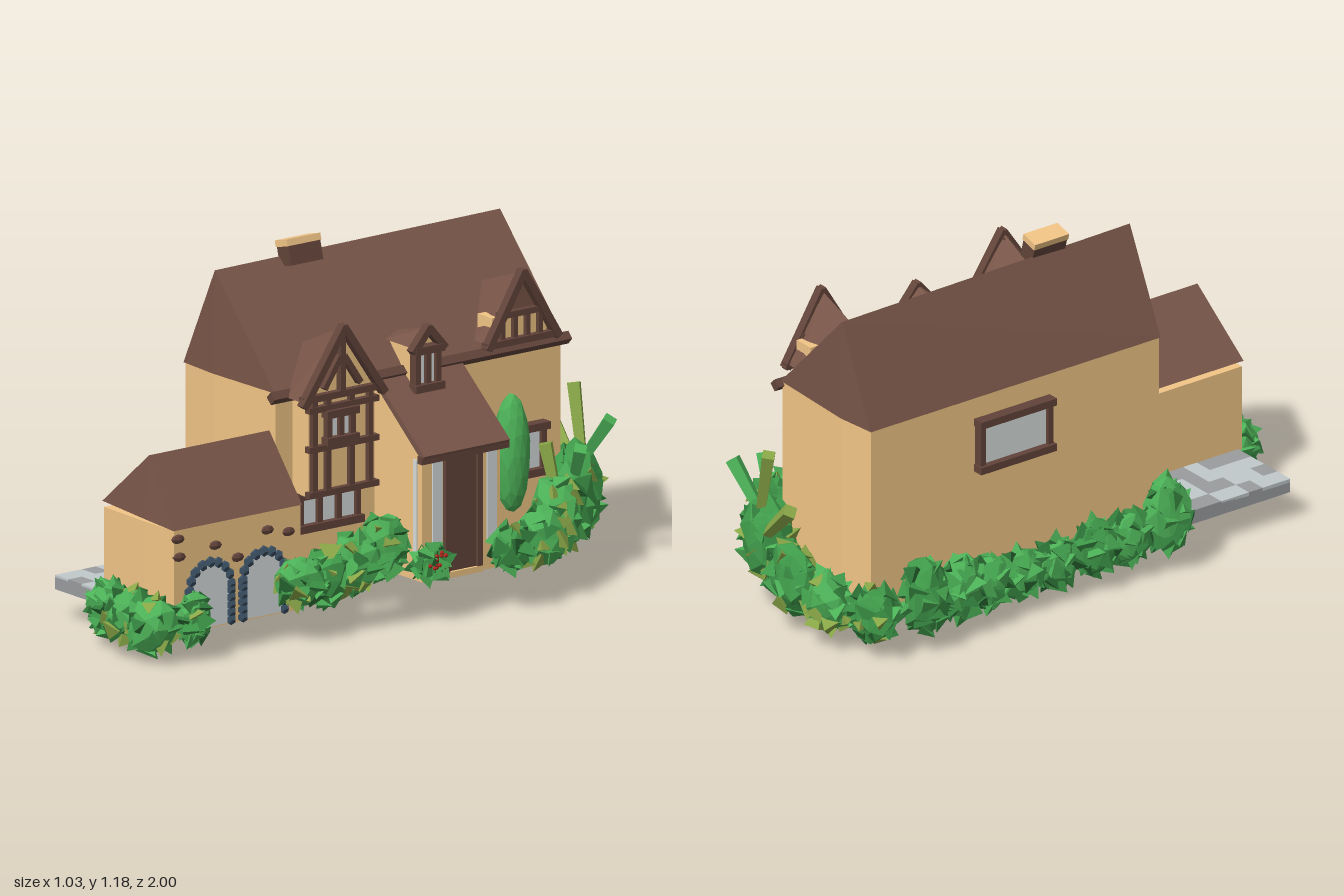
import * as THREE from 'three';
import { mergeVertices } from 'three/addons/utils/BufferGeometryUtils.js';

const mat = (color, side = THREE.FrontSide) => new THREE.MeshStandardMaterial({ color, flatShading: true, side });
const PLASTER = mat(0xf2c586, THREE.DoubleSide), ROOF = mat(0x785548, THREE.DoubleSide), TIMBER = mat(0x62443a);
const GLASS = mat(0xd6dcdb), SLATE = mat(0x3a4f62), STONE = mat(0x9a9c9e), PALE = mat(0xc0c9cb), BERRY = mat(0xb02a20);
const GREENS = [mat(0x4cb157), mat(0x3f9b4a), mat(0x2f7a3a)], OLIVE = mat(0x8aa848);

let seed = 7;
const rand = () => (seed = (seed * 16807) % 2147483647) / 2147483647;

function add(parent, name, geo, material) {
  const m = new THREE.Mesh(geo, material);
  m.name = name;
  parent.add(m);
  return m;
}

function group(parent, name) {
  const g = new THREE.Group();
  g.name = name;
  parent.add(g);
  return g;
}

// Box given by its limits
function box(p, name, material, x0, x1, y0, y1, z0, z1) {
  const m = add(p, name, new THREE.BoxGeometry(x1 - x0, y1 - y0, z1 - z0), material);
  m.position.set((x0 + x1) / 2, (y0 + y1) / 2, (z0 + z1) / 2);
  return m;
}

// Timber between two (y, z) points on a side wall
function bar(p, x, y0, z0, y1, z1, w = 0.02, d = 0.025) {
  const m = add(p, 'timber', new THREE.BoxGeometry(d, w, Math.hypot(y1 - y0, z1 - z0) + w * 0.5), TIMBER);
  m.position.set(x, (y0 + y1) / 2, (z0 + z1) / 2);
  m.rotation.x = -Math.atan2(y1 - y0, z1 - z0);
}

// Flat polygons fanned into triangles
function faces(p, name, material, polys) {
  const v = [];
  for (const q of polys)
    for (let i = 1; i < q.length - 1; i++) v.push(...q[0], ...q[i], ...q[i + 1]);
  const g = new THREE.BufferGeometry();
  g.setAttribute('position', new THREE.Float32BufferAttribute(v, 3));
  g.computeVertexNormals();
  return add(p, name, g, material);
}

// Walls on a slightly bent footprint, with a gabled roof
function block(root, name, { l, r, rxf, rxb, zf, zb, mf, mb, rf, rb, y0, eave, drop, top }) {
  const g = group(root, name);
  const s = new THREE.Shape([[l, zf], [rxf, mf], [r, zf], [r, zb], [rxb, mb], [l, zb]]
    .map(([x, z]) => new THREE.Vector2(x, -z)));
  const walls = new THREE.ExtrudeGeometry(s, { depth: eave - drop - y0, bevelEnabled: false });
  walls.rotateX(-Math.PI / 2).translate(0, y0, 0);
  add(g, 'walls', walls, PLASTER);
  const e = 0.004, F = [rxf, top, rf], B = [rxb, top, rb];
  const LF = [l - e, eave, zf + e], RF = [r + e, eave - drop, zf + e], LB = [l - e, eave, zb - e], RB = [r + e, eave - drop, zb - e];
  const MF = [rxf, eave - drop / 2, mf + e], MB = [rxb, eave - drop / 2, mb - e];
  faces(g, 'roof', ROOF, [[LF, F, B, LB], [F, RF, RB, B], [LF, MF, F], [MF, RF, F], [LB, B, MB], [MB, B, RB]]);
  return g;
}

// Gable on the long roof whose ridge climbs outwards and leans over its wall
function gable(root, name, { z, hw, base, peak, x, bx, by, face = PLASTER }) {
  const g = group(root, name), inner = 0.15 - (base - 0.77) * 0.94;
  const P = [x, peak, z], B = [bx, by, z];
  faces(g, 'gableRoof', ROOF, [-1, 1].map(s => [P, B, [inner, base, z + s * hw], [x, base, z + s * hw]]));
  const wx = x - 0.02;
  faces(g, 'gableWall', face, [[[wx, base, z + hw * 0.9], [wx, base, z - hw * 0.9], [wx, peak - 0.02, z]]]);
  for (const s of [-1, 1]) bar(g, x, base - 0.01, z + s * hw, peak, z, 0.025, 0.03);
  return g;
}

// Framed window on a side wall
function windowOn(root, name, x, y0, y1, z0, z1, panes, out = 1) {
  const g = group(root, name);
  box(g, 'glass', GLASS, x - 0.008, x + 0.008, y0, y1, z0, z1);
  for (const y of [y0, y1]) bar(g, x + out * 0.012, y, z0 - 0.01, y, z1 + 0.01, 0.025, 0.04);
  for (let i = 0; i <= panes; i++) {
    const z = z0 + (z1 - z0) * i / panes;
    bar(g, x + out * 0.006, y0, z, y1, z, 0.02, 0.03);
  }
}

// Faceted blob with vertices pushed in and out
function blob(detail, jitter) {
  let g = new THREE.IcosahedronGeometry(1, detail);
  g.deleteAttribute('normal');
  g.deleteAttribute('uv');
  g = mergeVertices(g);
  const p = g.attributes.position;
  for (let i = 0; i < p.count; i++) {
    const k = 1 + (rand() - 0.5) * jitter;
    p.setXYZ(i, p.getX(i) * k, p.getY(i) * k, p.getZ(i) * k);
  }
  g.computeVertexNormals();
  return g;
}

// Shrub: core blob with broad leaf shards lying around it
function bush(root, [x, y, z, rx, ry, rz, olive = 0.1, berries = 0]) {
  const g = group(root, 'bush');
  g.position.set(x, y, z);
  add(g, 'foliage', blob(1, 0.35), GREENS[Math.floor(rand() * 2)]).scale.set(rx * 0.92, ry * 0.92, rz * 0.92);
  for (let i = 0; i < 26; i++) {
    const h = 1 - 2 * (i + 0.5) / 26, a = i * 2.4, q = Math.sqrt(1 - h * h);
    const leaf = add(g, 'leaf', new THREE.TetrahedronGeometry(0.03 + 0.02 * rand()), rand() < olive ? OLIVE : GREENS[i % 3]);
    leaf.position.set(q * Math.cos(a) * rx, h * ry, q * Math.sin(a) * rz).multiplyScalar(0.8);
    leaf.rotation.set(rand() * 6, rand() * 6, rand() * 6);
  }
  for (let i = 0; i < berries; i++)
    add(g, 'berry', new THREE.IcosahedronGeometry(0.008, 0), BERRY)
      .position.set(rx * 0.9, (rand() - 0.3) * ry, (rand() - 0.5) * rz * 1.2);
}

export function createModel() {
  const root = new THREE.Group();
  root.name = 'cottage';

  // Main house and garage
  block(root, 'mainHouse', { l: -0.325, r: 0.143, rxf: -0.165, rxb: -0.19, zf: 0.335, zb: -0.815, mf: 0.345, mb: -0.83,
    rf: 0.34, rb: -0.83, y0: 0.13, eave: 0.77, drop: 0, top: 1.11 });
  const garage = block(root, 'garage', { l: -0.09, r: 0.273, rxf: 0.125, rxb: 0.125, zf: 0.845, zb: 0.335, mf: 0.85, mb: 0.335,
    rf: 0.83, rb: 0.345, y0: 0.085, eave: 0.45, drop: 0.02, top: 0.645 });
  const eaveBeam = box(root, 'eaveBeam', TIMBER, 0.137, 0.167, 0.743, 0.773, -0.84, 0.36);
  eaveBeam.rotation.z = Math.PI / 4;

  // Arched garage doors ringed with stones
  for (const z of [0.7, 0.485]) {
    const door = new THREE.Shape();
    door.moveTo(-0.075, 0).lineTo(0.075, 0).lineTo(0.075, 0.13).absarc(0, 0.13, 0.075, 0, Math.PI).lineTo(-0.075, 0);
    const dg = new THREE.ExtrudeGeometry(door, { depth: 0.012, bevelEnabled: false, curveSegments: 8 });
    const d = add(garage, 'garageDoor', dg, GLASS);
    d.rotation.y = Math.PI / 2;
    d.position.set(0.266, 0.09, z);
    for (let i = 0; i < 19; i++) {
      const t = (i - 5) / 8 * Math.PI, arch = i >= 5 && i <= 13;
      const side = i < 5 ? 1 : -1, row = i < 5 ? i : 18 - i;
      const s = add(garage, 'archStone', new THREE.DodecahedronGeometry(0.02), SLATE);
      s.position.set(0.272, arch ? 0.22 + 0.083 * Math.sin(t) : 0.1 + row * 0.025, z + (arch ? 0.083 * Math.cos(t) : side * 0.083));
    }
  }
  for (const [y, z] of [[0.4, 0.83], [0.34, 0.825], [0.355, 0.68], [0.37, 0.47], [0.3, 0.59], [0.35, 0.385]])
    add(garage, 'wallStone', new THREE.SphereGeometry(0.026, 6, 4).scale(0.5, 0.6, 1), TIMBER).position.set(0.275, y, z);

  // Paved terrace
  const terrace = group(root, 'terrace');
  box(terrace, 'slab', STONE, -0.365, -0.09, 0.095, 0.135, 0.335, 0.83);
  for (let i = 0; i < 4; i++)
    for (let j = 0; j < 9; j++)
      box(terrace, 'paver', rand() < 0.4 ? STONE : PALE, -0.365 + i * 0.069, -0.296 + i * 0.069, 0.13, 0.142,
        0.335 + j * 0.055, 0.39 + j * 0.055);

  // Half-timbered bay overhanging the lower window
  const bay = group(root, 'bay');
  box(bay, 'upperBay', PLASTER, 0.13, 0.225, 0.43, 0.765, 0.005, 0.265);
  const bg = gable(root, 'bayGable', { z: 0.145, hw: 0.16, base: 0.755, peak: 0.98, x: 0.25, bx: 0.04, by: 0.885 });
  for (const z of [0.25, 0.195, 0.1, 0.025]) bar(bay, 0.23, 0.44, z, 0.76, z);
  for (const y of [0.44, 0.59, 0.72]) bar(bay, 0.233, y, 0.0, y, 0.27);
  bar(bg, 0.24, 0.76, -0.01, 0.76, 0.3, 0.022);
  bar(bg, 0.24, 0.76, 0.145, 0.96, 0.145);
  for (const s of [-1, 1]) bar(bg, 0.24, 0.88, 0.145 + s * 0.01, 0.79, 0.145 + s * 0.07);
  windowOn(bay, 'bayWindow', 0.227, 0.61, 0.7, 0.1, 0.195, 2);
  windowOn(bay, 'lowerWindow', 0.15, 0.31, 0.42, 0.02, 0.25, 3);

  // Rear and middle dormers
  const rear = gable(root, 'rearDormer', { z: -0.625, hw: 0.14, base: 0.8, peak: 1.02, x: 0.19, bx: -0.02, by: 0.945, face: ROOF });
  box(rear, 'dormerFront', PLASTER, 0.1, 0.174, 0.79, 0.88, -0.735, -0.515);
  bar(rear, 0.185, 0.795, -0.77, 0.795, -0.48, 0.022);
  bar(rear, 0.18, 0.885, -0.71, 0.885, -0.54);
  for (const z of [-0.7, -0.65, -0.6, -0.55]) bar(rear, 0.177, 0.8, z, 0.88, z, 0.016);
  const mid = gable(root, 'middleDormer', { z: -0.22, hw: 0.06, base: 0.85, peak: 0.91, x: 0.22, bx: 0.07, by: 0.87 });
  box(mid, 'dormerWalls', PLASTER, 0.08, 0.2, 0.69, 0.85, -0.265, -0.175);
  windowOn(mid, 'dormerWindow', 0.205, 0.715, 0.84, -0.262, -0.178, 2);

  // Entrance porch with lean-to roof
  const porch = group(root, 'porch');
  const lean = (name, pts, z0, z1, m) => add(porch, name, new THREE.ExtrudeGeometry(
    new THREE.Shape(pts.map(p => new THREE.Vector2(...p))), { depth: z1 - z0, bevelEnabled: false }).translate(0, 0, z0), m);
  lean('porchWalls', [[0.13, 0.13], [0.39, 0.13], [0.39, 0.54], [0.13, 0.74]], -0.38, -0.065, PLASTER);
  lean('porchRoof', [[0.12, 0.76], [0.4, 0.53], [0.41, 0.55], [0.12, 0.785]], -0.405, -0.06, ROOF);
  bar(porch, 0.393, 0.535, -0.4, 0.535, -0.06, 0.025);
  box(porch, 'door', TIMBER, 0.38, 0.395, 0.15, 0.53, -0.28, -0.17);
  for (const z of [-0.29, -0.16]) bar(porch, 0.392, 0.15, z, 0.53, z, 0.02);
  for (const z of [-0.345, -0.125]) box(porch, 'sideLight', GLASS, 0.38, 0.395, 0.22, 0.52, z - 0.02, z + 0.02);
  box(porch, 'sideGlass', GLASS, 0.35, 0.368, 0.2, 0.53, -0.07, -0.06);
  box(porch, 'doorstep', PLASTER, 0.38, 0.405, 0.13, 0.15, -0.3, -0.15);

  // Side windows and chimney
  windowOn(root, 'rearWindow', 0.15, 0.34, 0.49, -0.73, -0.54, 2);
  windowOn(root, 'leftWindow', -0.335, 0.525, 0.685, -0.39, -0.12, 1, -1);
  const chimney = group(root, 'chimney');
  box(chimney, 'stack', TIMBER, -0.03, 0.03, -0.045, 0.018, -0.065, 0.065);
  box(chimney, 'cap', PLASTER, -0.032, 0.032, 0.018, 0.04, -0.068, 0.068);
  chimney.position.set(-0.15, 1.128, 0.01);
  chimney.rotation.z = 0.26;

  // Shrubs: x, y, z, radii, olive share, berries
  const shrubs = [
    [-0.01, 0.12, 0.88, 0.1, 0.1, 0.07], [0.11, 0.13, 0.9, 0.09, 0.1, 0.09, 0.3], [0.22, 0.12, 0.89, 0.1, 0.11, 0.09, 0.2],
    [0.29, 0.13, 0.78, 0.04, 0.09, 0.06], [0.32, 0.19, 0.37, 0.07, 0.08, 0.09], [0.29, 0.18, 0.24, 0.07, 0.11, 0.09, 0.2],
    [0.31, 0.21, 0.14, 0.08, 0.11, 0.09, 0.4], [0.32, 0.25, 0.04, 0.08, 0.12, 0.08, 0.2], [0.39, 0.19, -0.1, 0.05, 0.06, 0.07, 0, 12],
    [0.43, 0.2, -0.4, 0.06, 0.08, 0.08], [0.37, 0.2, -0.57, 0.09, 0.1, 0.09, 0.5], [0.3, 0.23, -0.68, 0.09, 0.14, 0.09, 0.3],
    [0.22, 0.25, -0.8, 0.08, 0.17, 0.1, 0.2], [0.12, 0.24, -0.89, 0.11, 0.16, 0.08, 0.4], [-0.05, 0.18, -0.92, 0.13, 0.13, 0.07, 0.4],
    [-0.21, 0.15, -0.9, 0.12, 0.11, 0.07, 0.3], [-0.35, 0.14, -0.82, 0.1, 0.1, 0.08],
  ];
  // Low hedge along the left wall
  const hedge = [[0.31, 0.07, 0.14], [0.17, 0.055, 0.1], [0.03, 0.055, 0.1], [-0.12, 0.05, 0.09], [-0.26, 0.045, 0.09],
    [-0.39, 0.05, 0.1], [-0.52, 0.065, 0.12], [-0.67, 0.08, 0.14]];
  for (const [z, r, h] of hedge) shrubs.push([-0.335 - r, 0.04 + h, z, r, h, 0.085, 0]);
  for (const s of shrubs) bush(root, s);

  // Broad leaf blades behind the house: position, length, tilt about x and z
  const blades = [[0.1, 0.45, -0.92, 0.26, -0.1, 0.3], [0.19, 0.41, -0.92, 0.2, -0.2, -0.6], [0.0, 0.36, -0.94, 0.2, -0.1, 0.8],
    [0.27, 0.36, -0.78, 0.18, 0.2, -0.5], [0.24, 0.37, -0.7, 0.16, 0.1, 0.2]];
  blades.forEach(([x, y, z, h, tx, tz], i) => {
    const b = add(root, 'blade', new THREE.CylinderGeometry(0.028, 0.02, h, 4), i % 2 ? GREENS[0] : OLIVE);
    b.position.set(x, y, z);
    b.rotation.set(tx, 0, tz);
  });

  // Cypress beside the porch
  const cypress = add(root, 'cypress', blob(2, 0.06), GREENS[0]);
  cypress.scale.set(0.06, 0.2, 0.06);
  cypress.position.set(0.34, 0.48, -0.465);
  return root;
}
